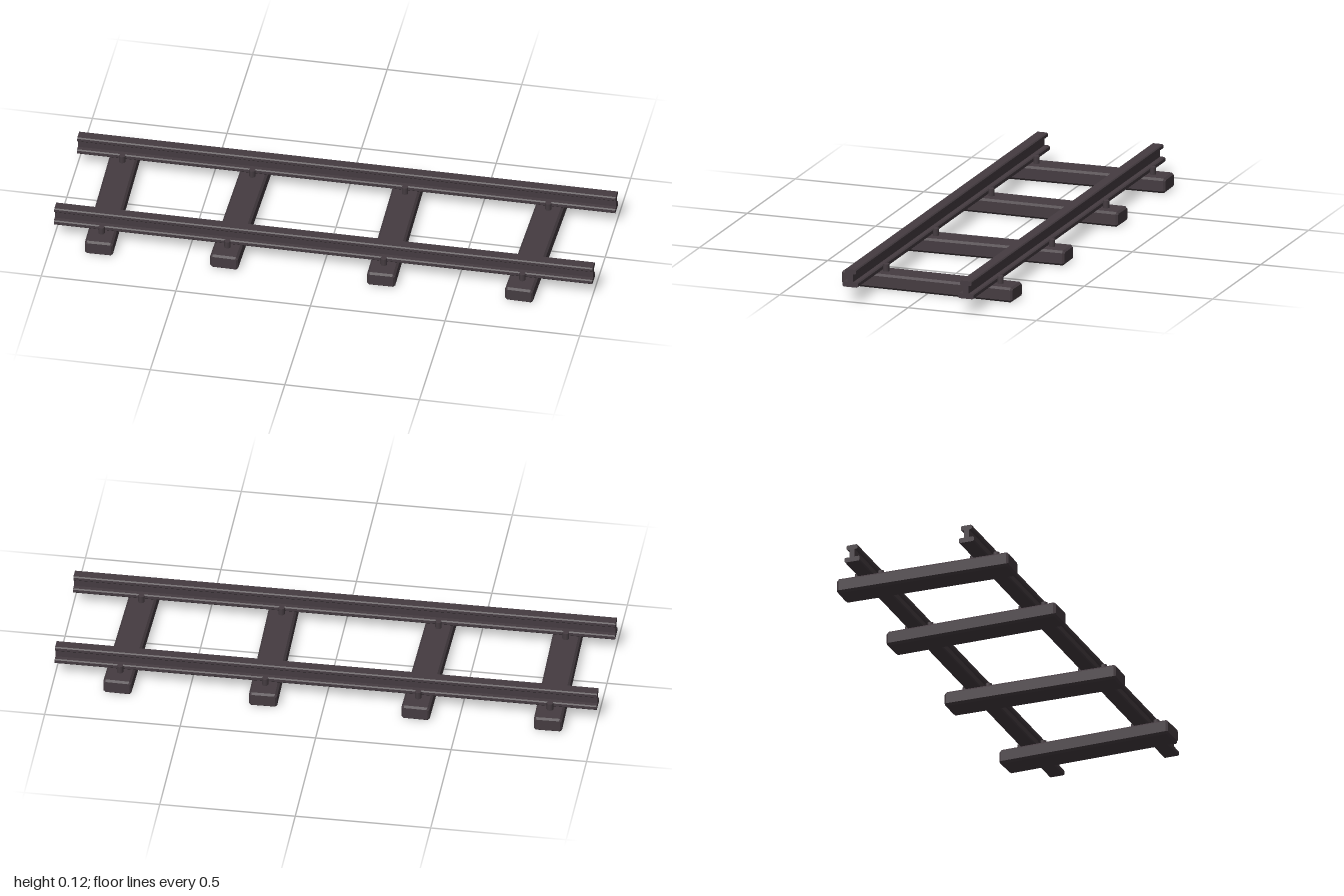
import * as THREE from 'three';

const darkIron = new THREE.MeshStandardMaterial({ color: 0x453c41 });
darkIron.name = 'darkIron';

const outline = (points) => new THREE.Shape(points.map(([x, y]) => new THREE.Vector2(x, y)));

// Chamfered rectangle, centred on x = 0, from y0 to y1
function chamferedRect(half, y0, y1, c) {
  return [
    [half - c, y0], [half, y0 + c], [half, y1 - c], [half - c, y1],
    [-half + c, y1], [-half, y1 - c], [-half, y0 + c], [-half + c, y0],
  ];
}

// Sleeper: a block with all its edges chamfered
function sleeperGeometry() {
  const length = 0.67, c = 0.008;
  const geometry = new THREE.ExtrudeGeometry(outline(chamferedRect(0.052, 0, 0.056, c)), {
    depth: length - 2 * c, bevelEnabled: true, bevelThickness: c,
    bevelSize: c * 0.8, bevelOffset: -c * 0.8, bevelSegments: 1,
  });
  return geometry.translate(0, 0, -length / 2 + c);
}

// Rail: I-shaped section with foot, web and head, running along x
function railGeometry() {
  const c = 0.004;
  const right = [
    [0.03 - c, 0.056], [0.03, 0.056 + c], [0.03, 0.075 - c], [0.03 - c, 0.075],
    [0.01, 0.075], [0.01, 0.105],
    [0.022 - c, 0.105], [0.022, 0.105 + c], [0.022, 0.123 - c], [0.022 - c, 0.123],
  ];
  const left = right.map(([x, y]) => [-x, y]).reverse();
  const geometry = new THREE.ExtrudeGeometry(outline([...right, ...left]), { depth: 2, bevelEnabled: false });
  return geometry.translate(0, 0, -1).rotateY(Math.PI / 2);
}

export function createModel() {
  const track = new THREE.Group();
  track.name = 'railwayTrack';

  const add = (parent, name, geometry, x = 0, y = 0, z = 0) => {
    const mesh = new THREE.Mesh(geometry, darkIron);
    mesh.name = name;
    mesh.position.set(x, y, z);
    parent.add(mesh);
  };

  // Two parallel rails
  const rail = railGeometry();
  add(track, 'frontRail', rail, 0, 0, 0.225);
  add(track, 'backRail', rail, 0, 0, -0.225);

  // Slightly crooked sleepers, each with a spike on both sides of each rail
  const sleeper = sleeperGeometry();
  const spike = new THREE.CylinderGeometry(0.012, 0.012, 0.033, 8);
  const placements = [[-0.825, 0.02], [-0.348, -0.016], [0.225, 0.016], [0.75, -0.024]];
  for (const [x, turn] of placements) {
    const group = new THREE.Group();
    group.name = 'sleeperWithSpikes';
    group.position.x = x;
    group.rotation.y = turn;
    add(group, 'sleeper', sleeper);
    for (const z of [-0.27, -0.18, 0.18, 0.27]) add(group, 'spike', spike, 0, 0.067, z);
    track.add(group);
  }
  return track;
}
